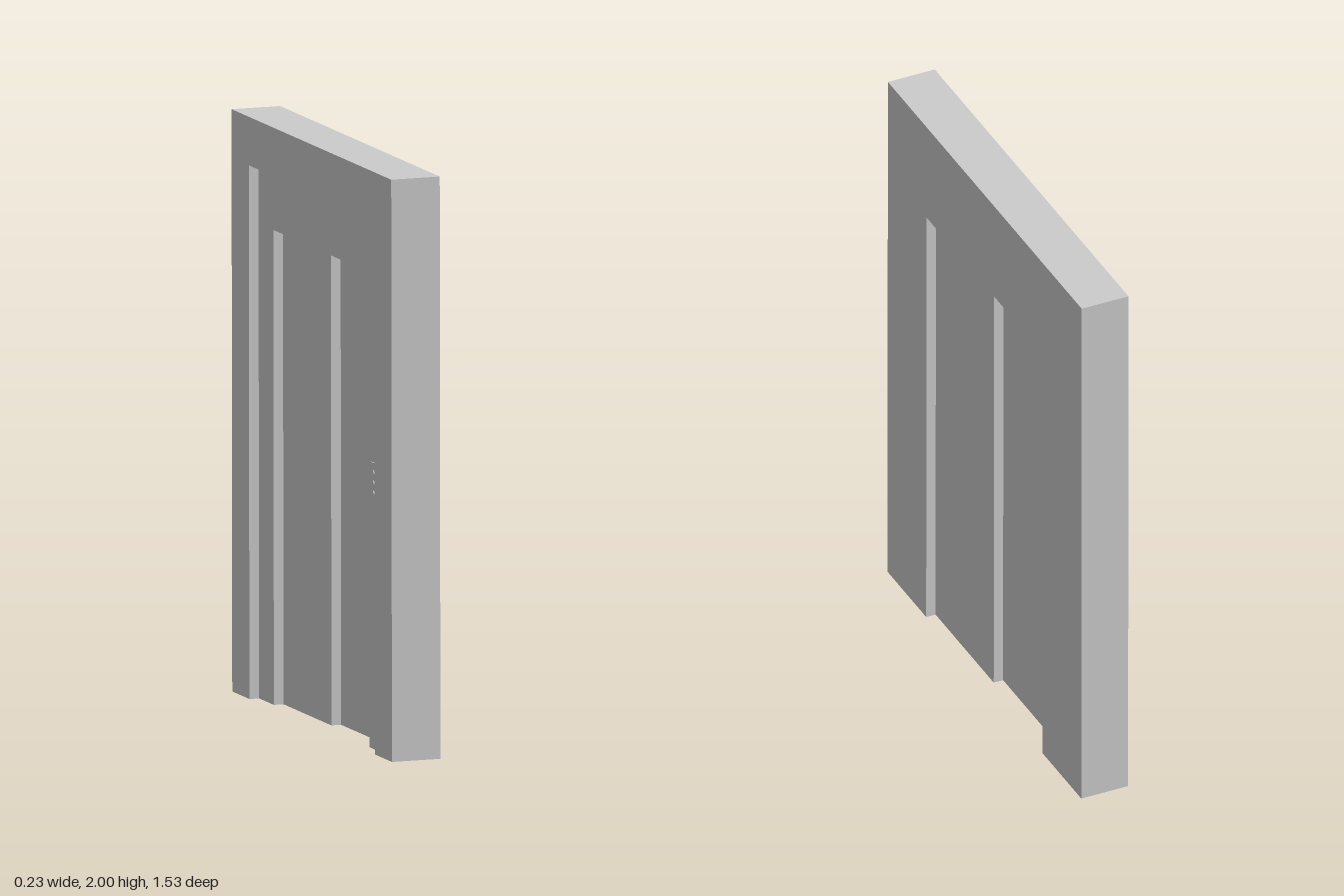
import * as THREE from 'three';

const material = new THREE.MeshStandardMaterial({ color: 0xcccccc });
const HALF = 0.996;      // half of the wall height
const STEP = 0.035;      // depth module shared by wall, frame and doors
const FRONT = 0.0875;    // x of the wall's door-side face
const OPEN_W = 0.455;    // half width of the door opening
const OPEN_TOP = 0.629;
const RECESS_W = 0.595;  // half width of the recess in the wall
const RECESS_TOP = 0.83;

function add(parent, name, geometry) {
  const mesh = new THREE.Mesh(geometry, material);
  mesh.name = name;
  parent.add(mesh);
  return mesh;
}

// Box given by its limits on each axis
function block(parent, name, x0, x1, y0, y1, z0, z1) {
  const mesh = add(parent, name, new THREE.BoxGeometry(x1 - x0, y1 - y0, z1 - z0));
  mesh.position.set((x0 + x1) / 2, (y0 + y1) / 2, (z0 + z1) / 2);
  return mesh;
}

// Upside-down U: an upright slab with a doorway cut up from the floor
function portal(outerW, outerTop, innerW, innerTop, depth) {
  const shape = new THREE.Shape([
    [-outerW, -HALF], [-innerW, -HALF], [-innerW, innerTop], [innerW, innerTop],
    [innerW, -HALF], [outerW, -HALF], [outerW, outerTop], [-outerW, outerTop],
  ].map(([u, v]) => new THREE.Vector2(u, v)));
  const geometry = new THREE.ExtrudeGeometry(shape, { depth, bevelEnabled: false });
  return geometry.rotateY(Math.PI / 2).translate(FRONT - depth, 0, 0);
}

export function createModel() {
  const model = new THREE.Group();
  model.name = 'elevatorDoorway';

  // Wall, and the thinner frame set into it flush with the door side
  add(model, 'wall', portal(0.758, HALF, RECESS_W, RECESS_TOP, 5 * STEP));
  add(model, 'doorFrame', portal(RECESS_W, RECESS_TOP, OPEN_W, OPEN_TOP, 4 * STEP));

  // Two sliding leaves on neighbouring tracks
  block(model, 'leftDoorLeaf', FRONT - 2 * STEP, FRONT - STEP, -HALF, OPEN_TOP, 0, OPEN_W);
  block(model, 'rightDoorLeaf', FRONT - 3 * STEP, FRONT - 2 * STEP, -HALF, OPEN_TOP, -OPEN_W, 0);

  // Call panel on the recessed frame post
  const panel = new THREE.Group();
  panel.name = 'callPanel';
  panel.position.set(FRONT - 4 * STEP, -0.085, 0.525);
  block(panel, 'panelPlate', -0.004, 0, -0.07, 0.07, -0.05, 0.05);
  for (const y of [-0.035, 0, 0.035]) {
    for (const z of [-0.02, 0.02]) {
      const button = add(panel, 'callButton', new THREE.CylinderGeometry(0.01, 0.01, 0.003, 16));
      button.rotation.z = Math.PI / 2;
      button.position.set(-0.0055, y, z);
    }
  }
  model.add(panel);

  // The whole piece stands slightly turned and leaning
  model.rotation.set(0.005, 0.033, 0.003);
  model.position.y = 1;
  return model;
}
